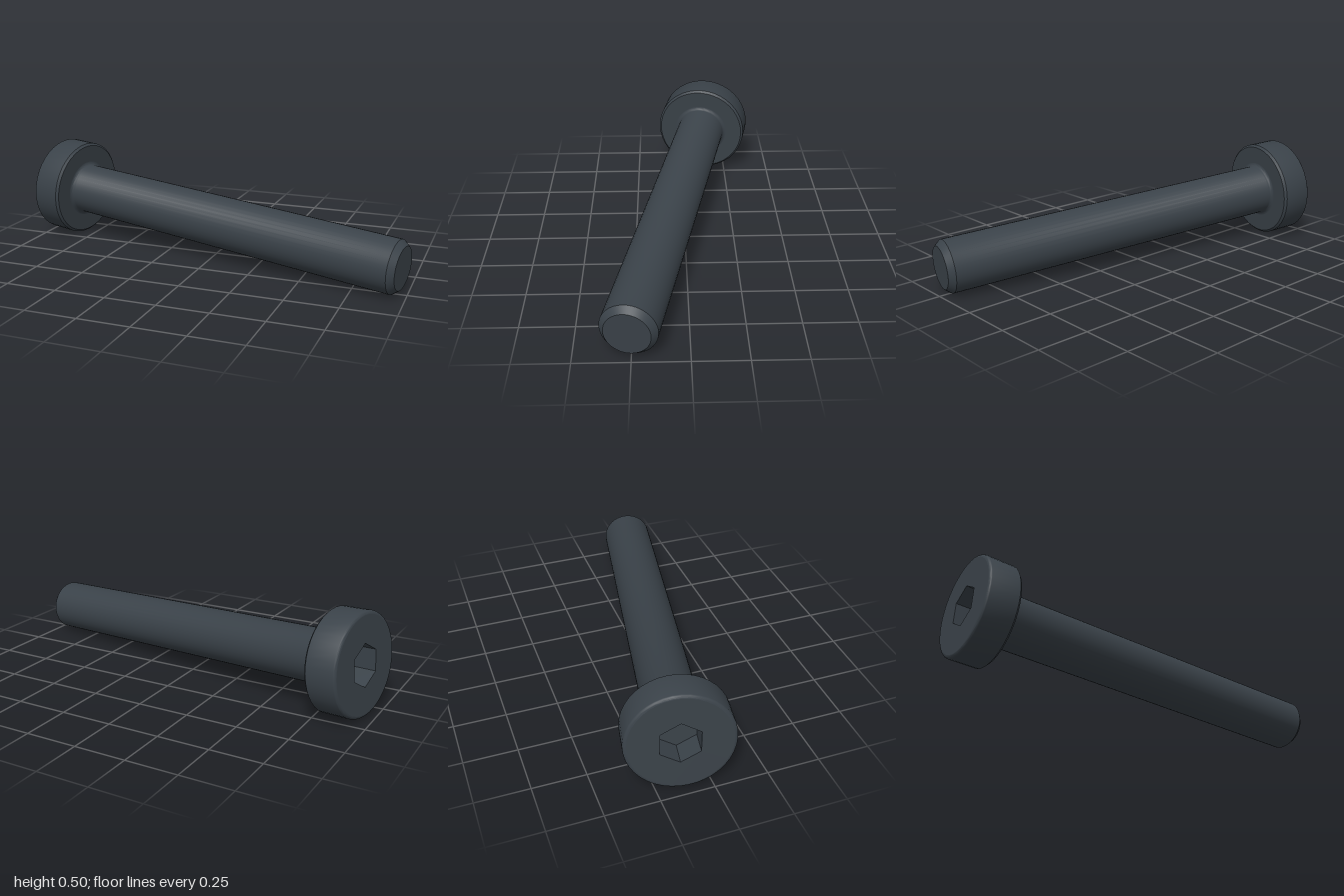
import * as THREE from 'three';
import { toCreasedNormals } from 'three/addons/utils/BufferGeometryUtils.js';

const SIDES = 40;

export function createModel() {
  const steel = new THREE.MeshStandardMaterial({ color: 0x3a4249 });
  steel.name = 'dark steel';
  const screw = new THREE.Group();
  screw.name = 'capScrew';

  const add = (name, geometry) => {
    const mesh = new THREE.Mesh(geometry, steel);
    mesh.name = name;
    screw.add(mesh);
  };
  // Turned part along +x from [radius, distance] pairs
  const turned = (pairs, sides = SIDES, start = 0, crease = 0.5) => {
    const points = pairs.map(([r, d]) => new THREE.Vector2(r, d));
    const lathe = new THREE.LatheGeometry(points, sides, start).rotateZ(-Math.PI / 2);
    return toCreasedNormals(lathe, crease);
  };
  // Points of a quarter-round edge
  const arc = (cr, cd, radius, from, to, steps = 5) =>
    Array.from({ length: steps + 1 }, (_, i) => {
      const a = from + ((to - from) * i) / steps;
      return [cr + radius * Math.cos(a), cd + radius * Math.sin(a)];
    });

  const headR = 0.245, headT = 0.16, edge = 0.016;
  const shankR = 0.128, length = 1.974, fillet = 0.018;
  const hexR = 0.102, hexDepth = 0.11;

  // Head: rounded outer rim, side, small bevel, underside
  add('head', turned([
    ...arc(headR - edge, edge, edge, -Math.PI / 2, 0),
    [headR, headT - 0.011],
    [headR - 0.011, headT],
    [shankR, headT],
  ]));

  // Outer face with a hexagonal opening
  const face = new THREE.Shape().absarc(0, 0, headR - edge, 0, Math.PI * 2);
  const hex = Array.from({ length: 6 }, (_, i) => {
    const a = Math.PI / 2 - (i * Math.PI) / 3;
    return new THREE.Vector2(hexR * Math.cos(a), hexR * Math.sin(a));
  });
  face.holes.push(new THREE.Path(hex));
  add('headFace', new THREE.ShapeGeometry(face, SIDES / 2).rotateY(-Math.PI / 2));

  // Hex socket: floor and inward-facing walls
  add('hexSocket', turned([[0, hexDepth], [hexR, hexDepth], [hexR, 0]], 6, Math.PI / 2));

  // Shank: fillet under the head, straight body, chamfered tip
  add('shank', turned([
    ...arc(shankR + fillet, headT + fillet, fillet, -Math.PI / 2, -Math.PI),
    [shankR, length - 0.03],
    [0.103, length],
    [0, length],
  ]));

  // Tilt the axis from the head towards the tip
  const headEnd = new THREE.Vector3(-0.949, 0.254, -0.146);
  const tip = new THREE.Vector3(0.978, 0.129, 0.265);
  const axis = tip.sub(headEnd).normalize();
  const side = new THREE.Vector3().crossVectors(axis, new THREE.Vector3(0, 1, 0)).normalize();
  const up = new THREE.Vector3().crossVectors(side, axis);
  screw.quaternion.setFromRotationMatrix(new THREE.Matrix4().makeBasis(axis, up, side));
  screw.position.copy(headEnd);

  const model = new THREE.Group();
  model.name = 'model';
  model.add(screw);
  return model;
}
